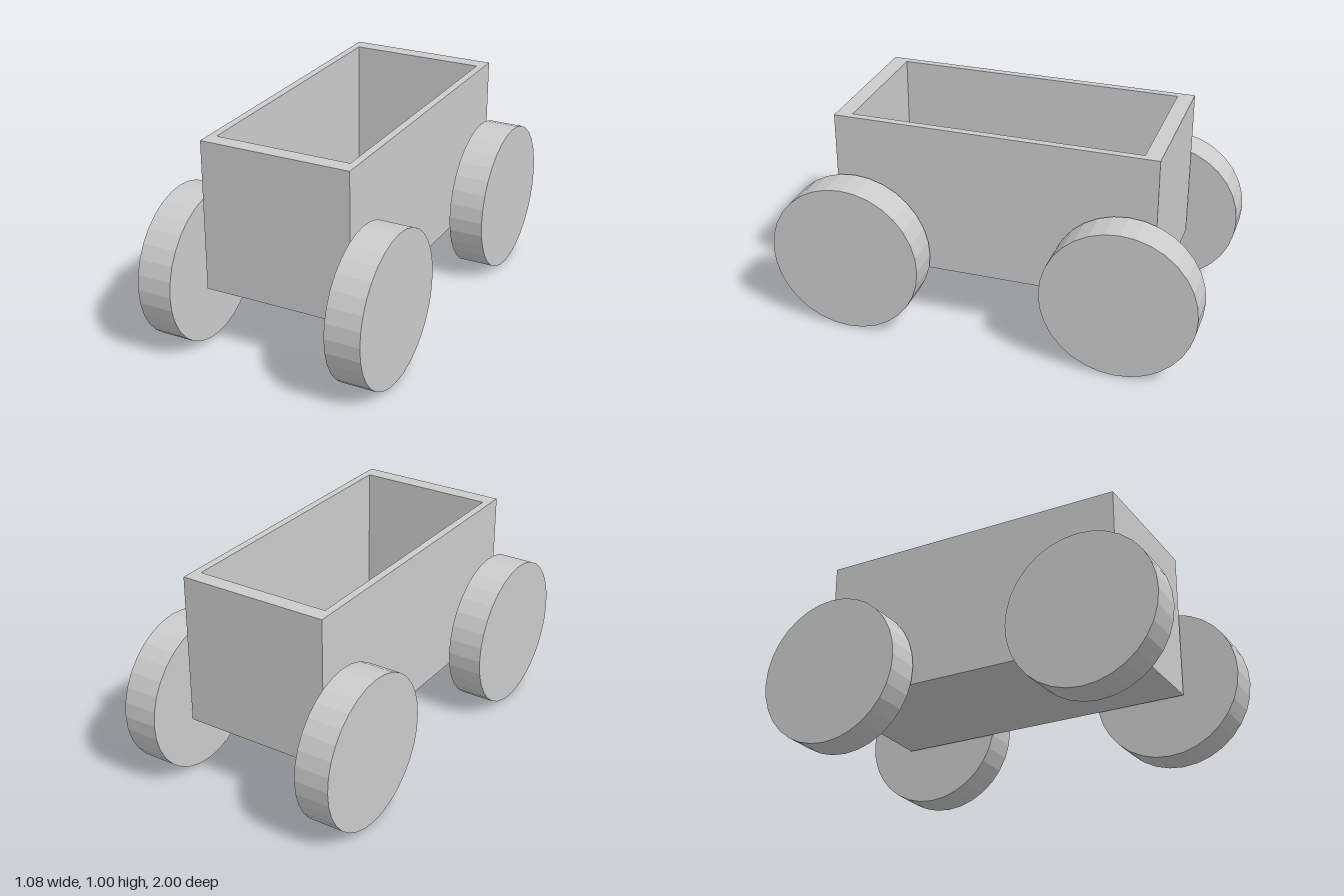
import * as THREE from 'three';

const material = new THREE.MeshStandardMaterial({ color: 0xcccccc, flatShading: true });

// Open box: a four-sided lathe of the wall section, stretched to a rectangle
function createBody() {
  const bottom = 0.28, top = 0.995, floor = 0.35, inner = 0.9;
  const section = [[0, bottom], [1, bottom], [1, top], [inner, top], [inner, floor], [0, floor]]
    .map(([r, y]) => new THREE.Vector2(r * Math.SQRT2, y));
  const geometry = new THREE.LatheGeometry(section, 4, Math.PI / 4);
  geometry.scale(0.358, 1, 0.748);
  const body = new THREE.Mesh(geometry, material);
  body.name = 'cartBody';
  body.position.z = -0.014;
  return body;
}

export function createModel() {
  const model = new THREE.Group();
  model.name = 'cart';
  model.add(createBody());

  // Four solid disc wheels standing on the ground
  const radius = 0.357, width = 0.166;
  const wheelGeometry = new THREE.CylinderGeometry(radius, radius, width, 32).rotateZ(Math.PI / 2);
  for (const [end, z] of [['front', 0.643], ['rear', -0.643]]) {
    for (const [side, x] of [['Left', 0.457], ['Right', -0.457]]) {
      const wheel = new THREE.Mesh(wheelGeometry, material);
      wheel.name = `${end}${side}Wheel`;
      wheel.position.set(x, radius, z);
      model.add(wheel);
    }
  }
  return model;
}
